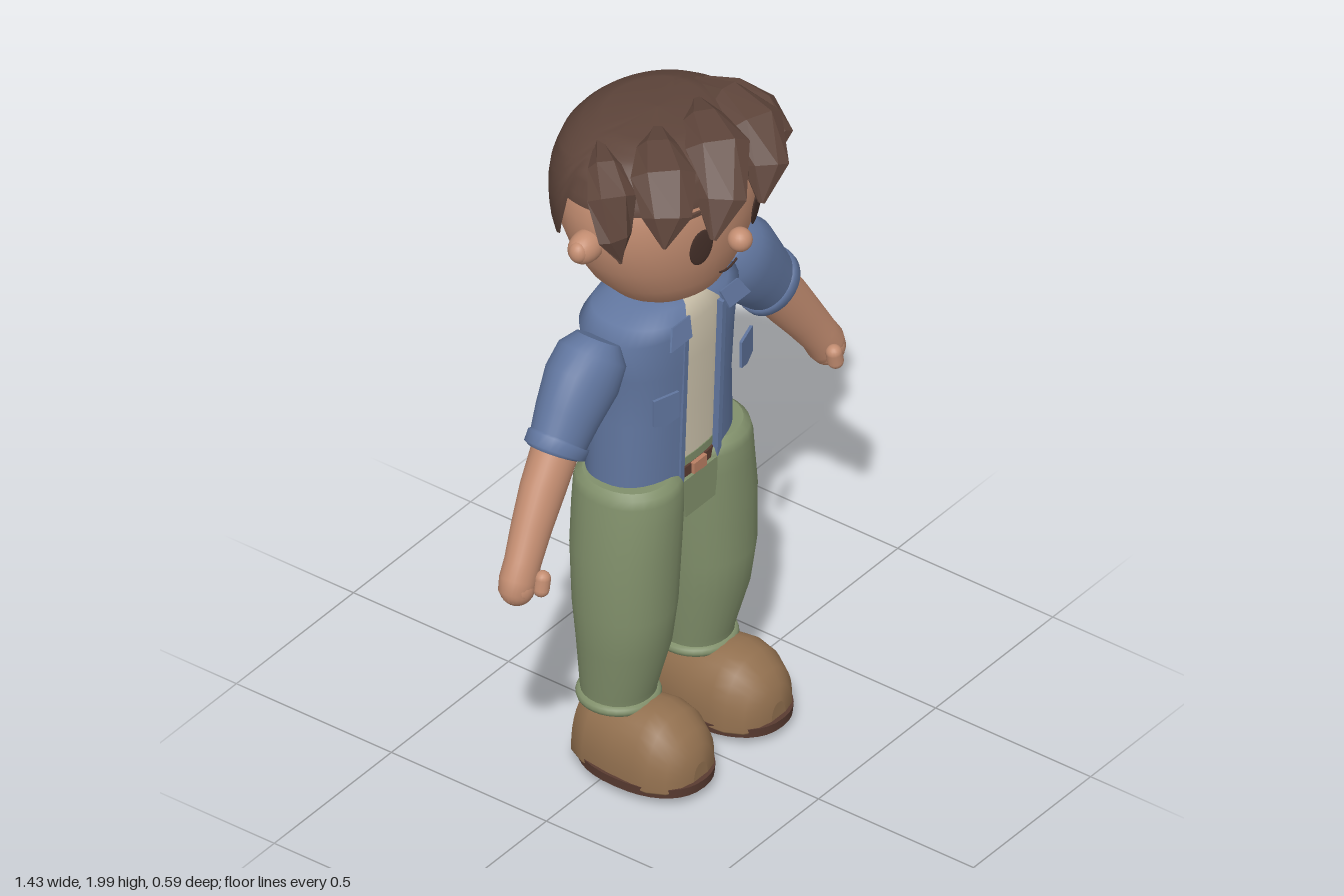
import * as THREE from 'three';

const mat = (name, color, extra = {}) => Object.assign(new THREE.MeshStandardMaterial({ color, ...extra }), { name });
const DS = { side: THREE.DoubleSide };
const V = (x, y, z) => new THREE.Vector3(x, y, z);

// Skin of elliptical rings. Each row is [x, y, z, radiusU, radiusV] along a path.
function loft(rows, { n = 28, axis, ref = V(0, 0, 1), p = 1, open = 0, caps = true } = {}) {
  const pos = [], idx = [];
  const centres = rows.map(r => V(r[0], r[1], r[2]));
  const ring = i => {
    const a = centres[Math.max(0, i - 1)], b = centres[Math.min(rows.length - 1, i + 1)];
    const t = axis ? axis.clone() : b.clone().sub(a).normalize();
    const u = ref.clone().cross(t).normalize(), v = t.clone().cross(u);
    for (let j = 0; j < n; j++) {
      const ang = open ? Math.PI / 2 + open + (2 * Math.PI - 2 * open) * j / (n - 1) : 2 * Math.PI * j / n;
      const c = Math.cos(ang), s = Math.sin(ang);
      const q = centres[i].clone()
        .addScaledVector(u, Math.sign(c) * Math.abs(c) ** p * rows[i][3])
        .addScaledVector(v, Math.sign(s) * Math.abs(s) ** p * rows[i][4]);
      pos.push(q.x, q.y, q.z);
    }
  };
  rows.forEach((r, i) => ring(i));
  const m = open ? n - 1 : n;
  for (let i = 0; i < rows.length - 1; i++) for (let j = 0; j < m; j++) {
    const a = i * n + j, b = i * n + (j + 1) % n;
    idx.push(a, b, a + n, b, b + n, a + n);
  }
  if (caps && !open) for (const i of [0, rows.length - 1]) {
    const s = pos.length / 3;
    ring(i);
    pos.push(...centres[i].toArray());
    for (let j = 0; j < n; j++) {
      const k = s + (j + 1) % n;
      i ? idx.push(s + n, s + j, k) : idx.push(s + n, k, s + j);
    }
  }
  const g = new THREE.BufferGeometry();
  g.setAttribute('position', new THREE.Float32BufferAttribute(pos, 3));
  g.setIndex(idx);
  g.computeVertexNormals();
  return g;
}

// Mirrored copy across x = 0 with the corner order kept outward.
function mirror(geo) {
  const g = geo.clone().scale(-1, 1, 1);
  const idx = g.index ? [...g.index.array] : [...Array(g.attributes.position.count).keys()];
  for (let i = 0; i < idx.length; i += 3) [idx[i], idx[i + 1]] = [idx[i + 1], idx[i]];
  g.setIndex(idx);
  return g;
}

const ball = (x, y, z, rx, ry = rx, rz = rx) => new THREE.SphereGeometry(1, 20, 14).scale(rx, ry, rz).translate(x, y, z);
const plate = (pts, depth) => new THREE.ExtrudeGeometry(
  new THREE.Shape(pts.map(q => new THREE.Vector2(...q))), { depth, bevelEnabled: false });

// Hair cap profile: [y, radiusX, radiusZ]
const CAP = [[1.975, 0, 0], [1.966, .15, .13], [1.94, .22, .19], [1.9, .275, .232], [1.84, .303, .255],
  [1.78, .313, .262], [1.7, .305, .26], [1.6, .275, .245]];
// Hairline: [degrees from the back, lowest y]
const LINE = [[0, 1.6], [35, 1.61], [52, 1.64], [68, 1.69], [74, 1.825], [181, 1.83]];
function lerpTable(table, x, col) {
  const up = table[1][0] > table[0][0];
  let i = 0;
  while (i < table.length - 2 && (up ? x > table[i + 1][0] : x < table[i + 1][0])) i++;
  const a = table[i], b = table[i + 1];
  return a[col] + (b[col] - a[col]) * (x - a[0]) / (b[0] - a[0]);
}
function hairCap() {
  const n = 72, rows = 18, pos = [], idx = [];
  for (let i = 0; i <= rows; i++) for (let j = 0; j < n; j++) {
    const a = 2 * Math.PI * j / n;
    const deg = Math.abs(180 - 360 * j / n);
    const y = 1.975 + (lerpTable(LINE, deg, 1) - 1.975) * (i / rows) ** 1.6;
    pos.push(Math.sin(a) * lerpTable(CAP, y, 1), y, -.02 + Math.cos(a) * lerpTable(CAP, y, 2));
    if (i < rows) {
      const p = i * n + j, q = i * n + (j + 1) % n;
      idx.push(p, p + n, q, q, p + n, q + n);
    }
  }
  const g = new THREE.BufferGeometry();
  g.setAttribute('position', new THREE.Float32BufferAttribute(pos, 3));
  g.setIndex(idx);
  g.computeVertexNormals();
  return g;
}

export function createModel() {
  const root = new THREE.Group();
  root.name = 'figure';
  const skin = mat('skin', 0xc38d71), denim = mat('denim blue', 0x61769f, DS), green = mat('trouser green', 0x81906b);
  const brown = mat('hair brown', 0x5d443a, DS), lock = mat('hair lock brown', 0x5d443a, { flatShading: true });
  const cream = mat('shirt cream', 0xcfc5ae), tan = mat('shoe tan', 0x92704f), dark = mat('sole brown', 0x593b31);
  const eye = mat('eye brown', 0x46312a), copper = mat('buckle copper', 0xb97f63);
  const add = (name, geo, m) => {
    const mesh = new THREE.Mesh(geo, m);
    mesh.name = name;
    root.add(mesh);
  };
  const pair = (name, geo, m) => {
    add('left' + name, geo, m);
    add('right' + name, mirror(geo), m);
  };
  const up = { axis: V(0, 1, 0) };

  // Head and face
  add('head', loft([[0, 1.42, .01, .05, .04], [0, 1.44, .01, .11, .095], [0, 1.48, .008, .17, .145],
    [0, 1.54, 0, .225, .185], [0, 1.62, -.008, .272, .218], [0, 1.7, -.014, .298, .238], [0, 1.78, -.018, .306, .245],
    [0, 1.86, -.02, .288, .236], [0, 1.92, -.02, .235, .2], [0, 1.95, -.02, .15, .13]], { ...up, n: 40 }), skin);
  add('nose', ball(0, 1.668, .247, .033), skin);
  pair('Ear', ball(.31, 1.712, -.015, .058, .045, .042), skin);
  pair('EarTip', ball(.347, 1.715, -.012, .025, .03, .026), skin);
  pair('Eye', ball(0, 0, 0, .036, .06, .005).rotateX(.13).rotateY(.33).translate(.118, 1.695, .211), eye);
  for (const s of [-1, 1])
    add('eyeGlint', ball(0, 0, 0, .007, .012, .003).rotateY(s * .33).translate(s * .118 + .01, 1.735, .2155 - s * .003), cream);
  pair('Brow', new THREE.BoxGeometry(.055, .012, .008).rotateZ(-.1).rotateY(.4).translate(.145, 1.803, .199), brown);
  add('mouth', new THREE.TorusGeometry(.075, .003, 6, 16, 1.1).rotateZ(-Math.PI / 2 - .55).translate(0, 1.633, .207), eye);

  // Hair: cap and swept fringe
  add('hairCap', hairCap(), brown);
  const locks = [
    [[-.17, 1.94, -.08, .01, .01], [-.25, 1.935, 0, .045, .025], [-.3, 1.89, .06, .065, .03], [-.325, 1.79, .09, .05, .022], [-.315, 1.71, .1, .005, .005]],
    [[-.04, 1.955, .01, .01, .01], [-.13, 1.965, .08, .055, .025], [-.2, 1.945, .15, .085, .03], [-.25, 1.86, .2, .065, .022], [-.275, 1.78, .21, .005, .005]],
    [[.11, 1.955, .02, .01, .01], [.04, 1.97, .1, .055, .025], [-.02, 1.955, .19, .085, .03], [-.09, 1.85, .255, .065, .022], [-.14, 1.755, .265, .01, .006]],
    [[.18, 1.95, -.03, .01, .01], [.17, 1.965, .08, .045, .025], [.145, 1.94, .19, .075, .03], [.1, 1.85, .255, .06, .022], [.06, 1.76, .27, .01, .006]],
    [[.2, 1.945, -.02, .01, .01], [.23, 1.94, .06, .03, .02], [.235, 1.91, .13, .055, .025], [.21, 1.86, .2, .05, .02], [.17, 1.81, .225, .005, .005]],
  ];
  locks.forEach((r, i) => add('fringeLock' + (i + 1), loft(r, { n: 6, ref: V(0, 1, 0) }).toNonIndexed(), lock));

  // Neck, shirt and open jacket
  add('neck', new THREE.CylinderGeometry(.08, .09, .1, 24).translate(0, 1.42, 0), skin);
  add('shirt', loft([[0, .9, -.015, .2, .118], [0, 1.1, -.015, .205, .126], [0, 1.25, -.015, .21, .134],
    [0, 1.37, -.015, .2, .136], [0, 1.415, -.01, .12, .11], [0, 1.432, -.005, .085, .085]], { ...up, p: .85 }), cream);
  add('jacket', loft([[0, .85, -.015, .225, .132], [0, .9, -.015, .238, .135], [0, 1.1, -.015, .224, .142],
    [0, 1.25, -.015, .23, .15], [0, 1.37, -.015, .25, .153], [0, 1.4, -.012, .2, .142], [0, 1.425, -.008, .13, .115],
    [0, 1.432, -.005, .09, .09]], { ...up, p: .82, open: .27, n: 40 }), denim);
  pair('JacketEdge', new THREE.BoxGeometry(.016, .5, .018).rotateX(.035).translate(.079, 1.13, .12), denim);
  pair('Collar', plate([[.17, -.025], [.14, .03], [.065, .03], [.08, -.025]], .006).rotateX(-.35).translate(0, 1.385, .14), denim);
  pair('Pocket', plate([[-.04, .045], [-.04, -.035], [0, -.047], [.04, -.035], [.04, .045]], .008)
    .rotateY(.3).translate(.17, 1.175, .133), denim);

  // Sleeves, arms and hands
  pair('Sleeve', loft([[.265, 1.395, -.01, .06, .06], [.29, 1.36, -.01, .105, .09], [.335, 1.305, -.01, .118, .095],
    [.4, 1.23, -.008, .1, .083], [.46, 1.155, -.003, .083, .07]]), denim);
  pair('SleeveCuff', loft([[.44, 1.18, -.004, .083, .07], [.442, 1.178, -.004, .095, .081], [.461, 1.154, -.003, .094, .08],
    [.463, 1.151, -.003, .083, .07]]), denim);
  pair('Arm', loft([[.44, 1.18, -.005, .07, .062], [.52, 1.07, .003, .068, .058], [.58, .985, .012, .06, .052],
    [.63, .91, .022, .054, .047], [.655, .868, .026, .056, .048], [.672, .835, .028, .048, .043], [.682, .815, .029, .025, .025]]), skin);
  pair('Hand', ball(.662, .85, .028, .048, .05, .047), skin);
  pair('Thumb', new THREE.CapsuleGeometry(.022, .03, 6, 14).rotateZ(.2).translate(.625, .862, .08), skin);

  // Waist, belt and trousers
  add('waistband', loft([[0, .83, -.015, .2, .118], [0, .938, -.015, .203, .122]], { ...up, p: .85 }), green);
  add('belt', loft([[0, .882, -.015, .206, .127], [0, .912, -.015, .206, .127]], { ...up, p: .85 }), dark);
  add('buckle', new THREE.BoxGeometry(.055, .034, .012).translate(0, .897, .114), copper);
  add('crotch', plate([[-.08, .882], [-.062, .765], [.062, .765], [.08, .882]], .235).translate(0, 0, -.115), green);
  pair('TrouserLeg', loft([[.165, .2, -.02, .095, .095], [.165, .25, -.019, .1, .1], [.167, .4, 0, .124, .123],
    [.168, .52, .003, .133, .137], [.161, .7, 0, .142, .144], [.15, .82, -.002, .136, .148], [.147, .88, -.002, .134, .146],
    [.148, .905, -.002, .125, .14], [.15, .918, -.002, .108, .12]], { ...up, p: .95 }), green);
  pair('TrouserCuff', new THREE.TorusGeometry(.096, .016, 10, 32).rotateX(Math.PI / 2).translate(.165, .217, -.02), green);

  // Shoes with soles
  pair('Shoe', loft([[.166, .055, -.118, .05, .1], [.166, .055, -.105, .09, .14], [.166, .055, -.05, .118, .16],
    [.166, .055, .04, .13, .168], [.166, .055, .12, .133, .178], [.166, .055, .165, .128, .163], [.166, .055, .21, .105, .125],
    [.166, .055, .236, .07, .09], [.166, .055, .246, .03, .045]].map(r => [r[0], .045, r[2], r[3], r[4] + .01]),
  { axis: V(0, 0, 1), ref: V(0, 1, 0), p: .85, n: 32 }).translate(0, 0, 0), tan);
  // Flatten the underside of both shoes onto the soles
  for (const m of root.children.filter(c => c.name.endsWith('Shoe'))) {
    const a = m.geometry.attributes.position;
    for (let i = 0; i < a.count; i++) a.setY(i, Math.max(a.getY(i), .04));
    m.geometry.computeVertexNormals();
  }
  pair('Sole', loft([[.167, .028, .07, .136, .188], [.167, .055, .07, .138, .19]], { ...up, p: .88, n: 36 }), dark);
  pair('Heel', ball(.167, .036, -.07, .095, .036, .04), tan);

  return root;
}
